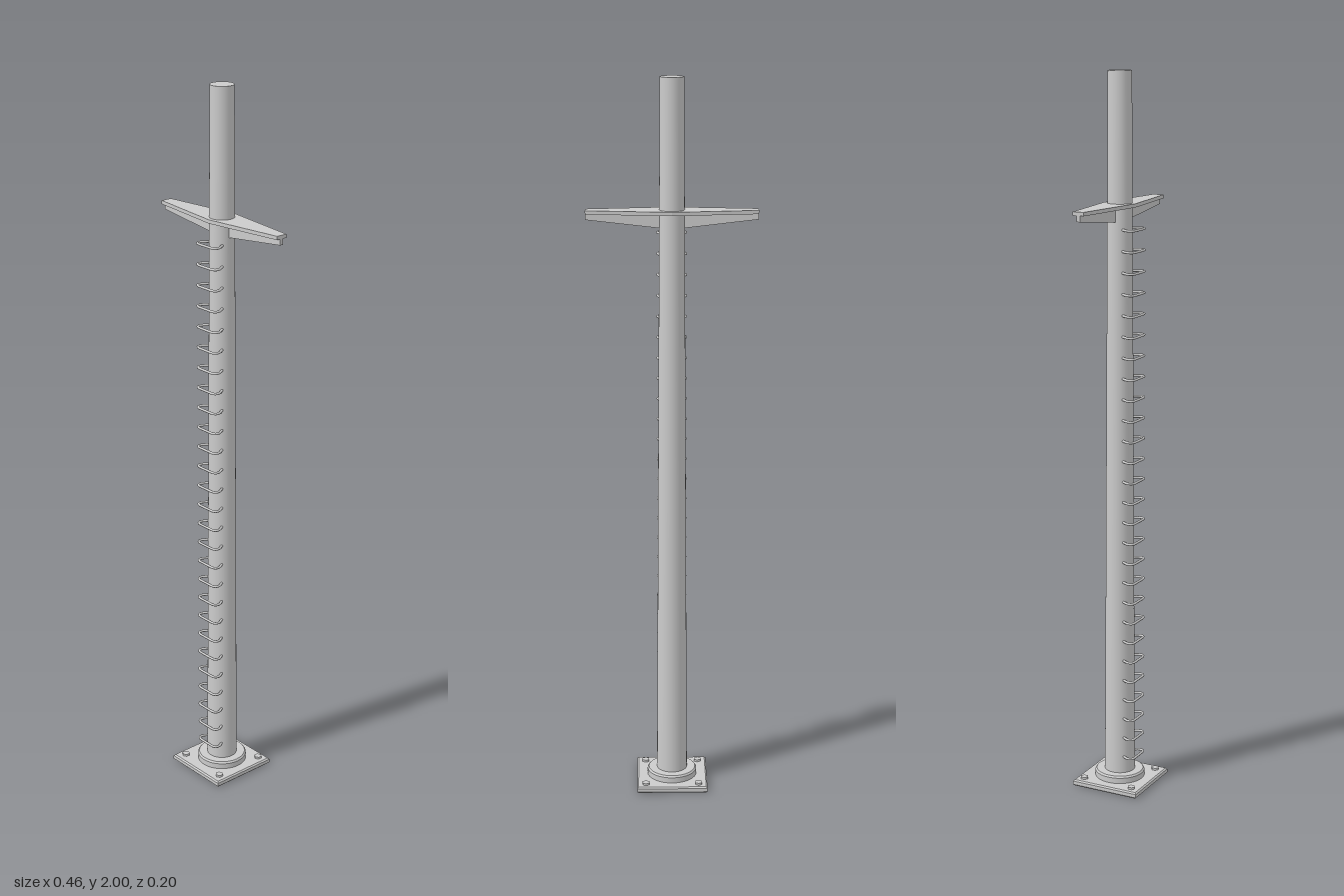
import * as THREE from 'three';

const CZ = -0.002; // pole axis, nudged back
const mat = new THREE.MeshStandardMaterial({ color: 0xcccccc });
const matDouble = new THREE.MeshStandardMaterial({ color: 0xcccccc, side: THREE.DoubleSide });

function add(parent, name, geometry, x, y, z, material = mat) {
  const mesh = new THREE.Mesh(geometry, material);
  mesh.name = name;
  mesh.position.set(x, y, z);
  parent.add(mesh);
  return mesh;
}

const polygon = (pts) => new THREE.Shape(pts.map(([x, y]) => new THREE.Vector2(x, y)));
const flat = { bevelEnabled: false };

export function createModel() {
  const model = new THREE.Group();

  // Square foot plate with a chamfered upper edge and a central opening
  const plate = polygon([[-0.096, -0.096], [0.096, -0.096], [0.096, 0.096], [-0.096, 0.096]]);
  const hole = new THREE.Path();
  hole.absarc(0, 0, 0.048, 0, Math.PI * 2, true);
  plate.holes.push(hole);
  const plateGeo = new THREE.ExtrudeGeometry(plate, {
    depth: 0.01, bevelThickness: 0.004, bevelSize: 0.004, bevelSegments: 1, curveSegments: 16,
  });
  plateGeo.rotateX(-Math.PI / 2);
  add(model, 'basePlate', plateGeo, 0, 0.004, 0);

  // Round collar on the plate
  const collarProfile = [[0.042, 0.016], [0.07, 0.016], [0.07, 0.016], [0.07, 0.034], [0.07, 0.034],
    [0.066, 0.039], [0.066, 0.039], [0.041, 0.039]].map(([r, y]) => new THREE.Vector2(r, y));
  add(model, 'baseCollar', new THREE.LatheGeometry(collarProfile, 32), 0, 0, CZ, matDouble);

  // Hexagonal anchor bolts
  for (const x of [-0.075, 0.075]) {
    for (const z of [-0.075, 0.075]) {
      add(model, 'anchorBolt', new THREE.CylinderGeometry(0.011, 0.011, 0.008, 6), x, 0.02, z + CZ);
    }
  }

  // Tapered hollow pole with a closed top
  add(model, 'pole', new THREE.CylinderGeometry(0.032, 0.043, 1.985, 32, 1, true), 0, 1.0075, CZ, matDouble);
  const cap = new THREE.CircleGeometry(0.032, 32).rotateX(-Math.PI / 2);
  add(model, 'poleCap', cap, 0, 2, CZ);

  // Crossarm: diamond-shaped flange over a tapering web
  const crossarm = new THREE.Group();
  crossarm.name = 'crossarm';
  model.add(crossarm);
  const flange = polygon([[-0.23, -0.016], [0, -0.046], [0.23, -0.016], [0.23, 0.016], [0, 0.046], [-0.23, 0.016]]);
  const flangeGeo = new THREE.ExtrudeGeometry(flange, { ...flat, depth: 0.01 }).rotateX(-Math.PI / 2);
  add(crossarm, 'crossarmFlange', flangeGeo, 0, 1.643, CZ);
  const web = polygon([[-0.23, 1.643], [-0.23, 1.627], [-0.03, 1.604], [0.03, 1.604], [0.23, 1.627], [0.23, 1.643]]);
  add(crossarm, 'crossarmWeb', new THREE.ExtrudeGeometry(web, { ...flat, depth: 0.01 }), 0, 0, CZ - 0.005);

  // Ladder of rounded U-shaped rungs up the front
  const v = (x, z) => new THREE.Vector3(x, 0, z);
  const path = new THREE.CurvePath();
  path.add(new THREE.LineCurve3(v(-0.026, 0.02), v(-0.037, 0.038)));
  path.add(new THREE.QuadraticBezierCurve3(v(-0.037, 0.038), v(-0.042, 0.057), v(-0.022, 0.057)));
  path.add(new THREE.LineCurve3(v(-0.022, 0.057), v(0.022, 0.057)));
  path.add(new THREE.QuadraticBezierCurve3(v(0.022, 0.057), v(0.042, 0.057), v(0.037, 0.038)));
  path.add(new THREE.LineCurve3(v(0.037, 0.038), v(0.026, 0.02)));
  const rungGeo = new THREE.TubeGeometry(path, 32, 0.0035, 8, false);
  const ladder = new THREE.Group();
  ladder.name = 'ladder';
  model.add(ladder);
  for (let i = 0; i < 27; i++) add(ladder, 'rung', rungGeo, 0, 0.087 + i * 0.0576, 0);

  return model;
}
